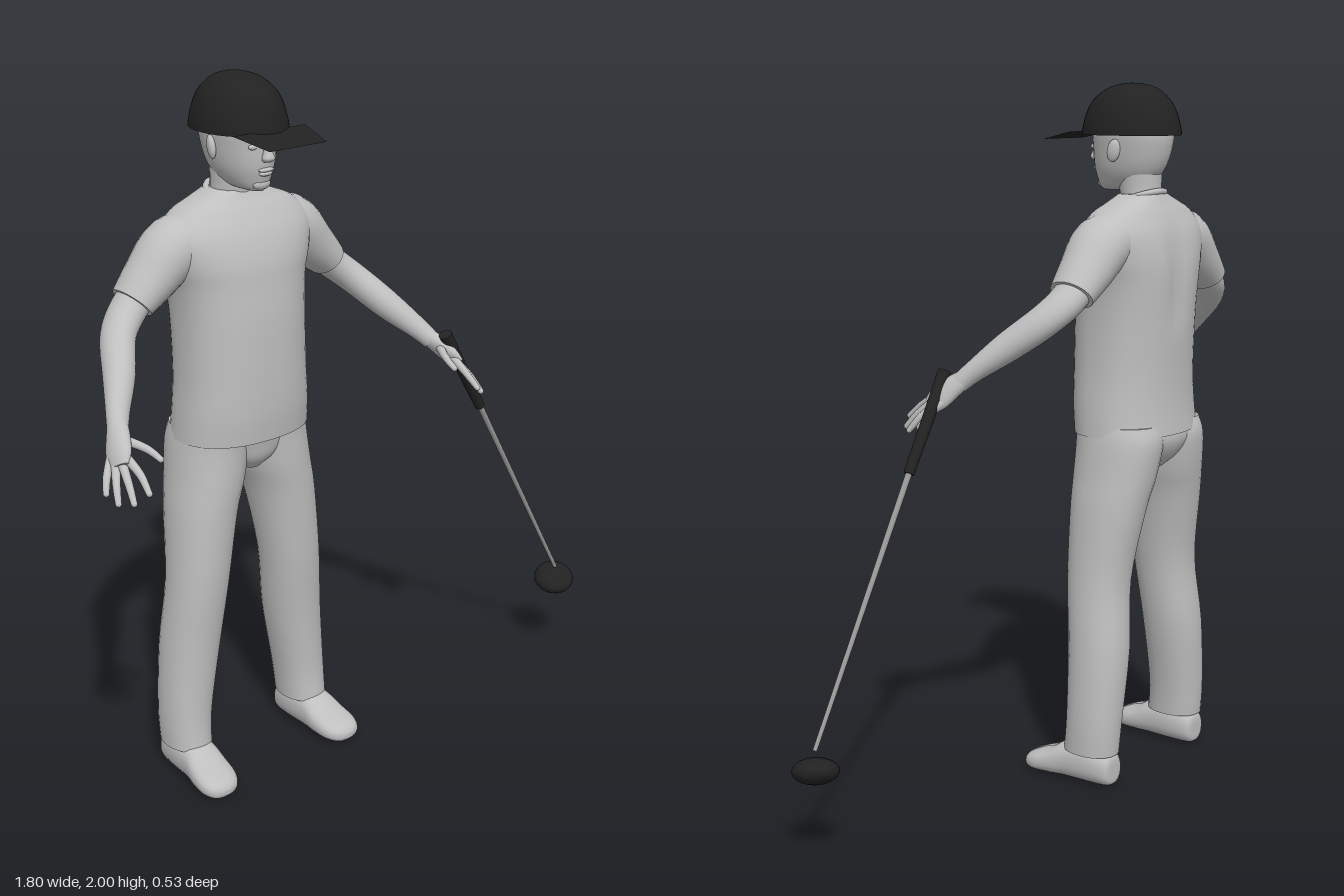
import * as THREE from 'three';

const body = new THREE.MeshStandardMaterial({ color: 0xbfbfbf });
body.name = 'light grey body';
const dark = new THREE.MeshStandardMaterial({ color: 0x222222, side: THREE.DoubleSide });
dark.name = 'near black';
const steel = new THREE.MeshStandardMaterial({ color: 0x999999 });
steel.name = 'steel grey';

const V = (x, y, z) => new THREE.Vector3(x, y, z);

function mesh(parent, name, geo, mat = body) {
  const m = new THREE.Mesh(geo, mat);
  m.name = name;
  parent.add(m);
  return m;
}

// Catmull-Rom smoothing of rows of numbers
function smoothRows(rows, sub) {
  const out = [];
  for (let i = 0; i < rows.length - 1; i++) {
    const [p, a, b, n] = [-1, 0, 1, 2].map(k => rows[Math.min(rows.length - 1, Math.max(0, i + k))]);
    for (let s = 0; s < sub; s++) {
      const t = s / sub;
      out.push(a.map((_, k) => a[k] + 0.5 * t * (b[k] - p[k]
        + t * (2 * p[k] - 5 * a[k] + 4 * b[k] - n[k] + t * (3 * (a[k] - b[k]) + n[k] - p[k])))));
    }
  }
  out.push(rows[rows.length - 1]);
  return out;
}

// Skin over rings [x, y, z, radiusA, radiusB]; plane is 'xz', 'xy' or 'path'
function loft(rings, { plane = 'path', power = 2, sides = 28, sub = 4, rule } = {}) {
  const rows = smoothRows(rings, sub), pos = [], idx = [];
  const centres = rows.map(r => V(r[0], r[1], r[2]));
  rows.forEach((r, i) => {
    let u = V(1, 0, 0), v = plane === 'xz' ? V(0, 0, 1) : V(0, 1, 0);
    if (plane === 'path') {
      const t = centres[Math.min(i + 1, rows.length - 1)].clone().sub(centres[Math.max(i - 1, 0)]).normalize();
      u = V(0, 0, 1).addScaledVector(t, -t.z).normalize();
      v = u.clone().cross(t);
    }
    for (let k = 0; k < sides; k++) {
      const a = k / sides * Math.PI * 2, c = Math.cos(a), s = Math.sin(a);
      const p = centres[i].clone()
        .addScaledVector(u, r[3] * Math.sign(c) * Math.abs(c) ** (2 / power))
        .addScaledVector(v, r[4] * Math.sign(s) * Math.abs(s) ** (2 / power));
      if (rule) rule(p);
      pos.push(p.x, p.y, p.z);
    }
  });
  for (let i = 0; i < rows.length - 1; i++) for (let k = 0; k < sides; k++) {
    const a = i * sides + k, b = i * sides + (k + 1) % sides;
    idx.push(a, b, a + sides, b, b + sides, a + sides);
  }
  // separate end caps keep hems crisp
  for (const i of [0, rows.length - 1]) {
    const base = pos.length / 3;
    pos.push(...pos.slice(i * sides * 3, (i + 1) * sides * 3), ...centres[i].toArray());
    for (let k = 0; k < sides; k++) {
      const a = base + k, b = base + (k + 1) % sides;
      idx.push(...(i ? [a, b, base + sides] : [b, a, base + sides]));
    }
  }
  // turn the skin outward if its signed volume is negative
  const P = i => V(pos[i * 3], pos[i * 3 + 1], pos[i * 3 + 2]).sub(centres[0]);
  let vol = 0;
  for (let i = 0; i < idx.length; i += 3) vol += P(idx[i]).dot(P(idx[i + 1]).cross(P(idx[i + 2])));
  if (vol < 0) idx.reverse();
  const g = new THREE.BufferGeometry();
  g.setAttribute('position', new THREE.Float32BufferAttribute(pos, 3));
  g.setIndex(idx);
  g.computeVertexNormals();
  return g;
}

function ellipsoid(parent, name, x, y, z, a, b, c, mat) {
  const m = mesh(parent, name, new THREE.SphereGeometry(1, 20, 14), mat);
  m.position.set(x, y, z);
  m.scale.set(a, b, c);
  return m;
}

// Round bar between two points
function rod(parent, name, a, b, ra, rb, mat) {
  const d = b.clone().sub(a);
  const m = mesh(parent, name, new THREE.CylinderGeometry(rb, ra, d.length(), 16), mat);
  m.position.copy(a).add(b).multiplyScalar(0.5);
  m.quaternion.setFromUnitVectors(V(0, 1, 0), d.normalize());
}

function buildHead(g) {
  mesh(g, 'neck', loft([[0, 1.63, -0.125, 0.062, 0.06], [0, 1.70, -0.122, 0.057, 0.06], [0, 1.78, -0.115, 0.06, 0.07]], { plane: 'xz' }));
  mesh(g, 'head', loft([
    [0, 1.703, -0.04, 0.022, 0.045], [0, 1.712, -0.055, 0.042, 0.066], [0, 1.735, -0.075, 0.06, 0.094],
    [0, 1.77, -0.085, 0.074, 0.112], [0, 1.82, -0.092, 0.083, 0.122], [0, 1.87, -0.094, 0.087, 0.124],
    [0, 1.92, -0.094, 0.074, 0.1], [0, 1.95, -0.094, 0.03, 0.04]], { plane: 'xz', power: 2.1 }));
  mesh(g, 'nose', loft([[0, 1.84, 0.022, 0.009, 0.01], [0, 1.81, 0.032, 0.012, 0.014],
    [0, 1.793, 0.035, 0.018, 0.017], [0, 1.784, 0.03, 0.012, 0.012]], { plane: 'xz', sides: 16 }));
  ellipsoid(g, 'upperLip', 0, 1.762, 0.025, 0.025, 0.006, 0.009);
  ellipsoid(g, 'lowerLip', 0, 1.752, 0.022, 0.021, 0.007, 0.01);
  ellipsoid(g, 'chin', 0, 1.722, 0.004, 0.028, 0.016, 0.014);
  for (const s of [-1, 1]) {
    ellipsoid(g, 'eyelid', s * 0.033, 1.824, 0.016, 0.016, 0.008, 0.008);
    ellipsoid(g, 'ear', s * 0.088, 1.815, -0.09, 0.011, 0.032, 0.019).rotation.set(-0.2, s * 0.35, 0);
  }
  // cap with a flat brim
  mesh(g, 'capCrown', loft([
    [0, 1.857, -0.088, 0.119, 0.152], [0, 1.88, -0.088, 0.117, 0.148], [0, 1.92, -0.088, 0.107, 0.136],
    [0, 1.955, -0.088, 0.09, 0.115], [0, 1.983, -0.09, 0.06, 0.08], [0, 1.996, -0.09, 0.03, 0.042],
    [0, 2.0, -0.09, 0.002, 0.002]], { plane: 'xz', sides: 36 }), dark);
  const outline = new THREE.Shape([[-0.118, 0], [0.118, 0], [0.092, 0.118], [-0.092, 0.118]].map(p => new THREE.Vector2(...p)));
  const brim = mesh(g, 'capBrim', new THREE.ShapeGeometry(outline), dark);
  brim.position.set(0, 1.866, 0.04);
  brim.rotation.x = Math.PI / 2 + 0.2;
}

function buildTorso(g) {
  // shirt with a shallow groove along the spine
  mesh(g, 'shirt', loft([
    [0, 1.02, -0.115, 0.202, 0.15], [0, 1.1, -0.107, 0.197, 0.15], [0, 1.2, -0.105, 0.19, 0.15],
    [0, 1.35, -0.109, 0.19, 0.151], [0, 1.45, -0.115, 0.2, 0.148], [0, 1.52, -0.117, 0.222, 0.141],
    [0, 1.59, -0.121, 0.235, 0.121], [0, 1.645, -0.125, 0.19, 0.092], [0, 1.67, -0.128, 0.135, 0.076],
    [0, 1.695, -0.13, 0.07, 0.062]], {
    plane: 'xz', power: 2.3, sides: 48,
    rule: p => {
      if (p.z < -0.15 && p.y > 1.3 && p.y < 1.64)
        p.z += 0.016 * Math.exp(-((p.x / 0.035) ** 2)) * Math.sin((p.y - 1.3) / 0.34 * Math.PI);
    } }));
  const collar = mesh(g, 'collar', new THREE.TorusGeometry(0.07, 0.009, 10, 40));
  collar.position.set(0, 1.68, -0.122);
  collar.rotation.x = Math.PI / 2 + 0.33;
  mesh(g, 'trouserSeat', loft([
    [0, 0.915, -0.12, 0.04, 0.08], [0, 0.95, -0.125, 0.11, 0.112],
    [0, 1.0, -0.13, 0.185, 0.128], [0, 1.05, -0.12, 0.19, 0.13]], { plane: 'xz', power: 2.2 }));
}

function buildSide(g, s, side) {
  const m = rows => rows.map(r => [r[0] * s, ...r.slice(1)]);
  // leg and shoe
  mesh(g, side + 'TrouserLeg', loft(m([
    [0.215, 0.095, -0.12, 0.066, 0.085], [0.21, 0.2, -0.127, 0.072, 0.084], [0.187, 0.4, -0.125, 0.083, 0.09],
    [0.165, 0.6, -0.108, 0.086, 0.093], [0.14, 0.8, -0.118, 0.094, 0.113], [0.118, 0.9, -0.125, 0.101, 0.125],
    [0.102, 1.0, -0.13, 0.103, 0.132], [0.1, 1.05, -0.12, 0.095, 0.128]]), { plane: 'xz', power: 2.15 }));
  mesh(g, side + 'Shoe', loft(m([
    [0.214, 0.045, -0.202, 0.02, 0.025], [0.214, 0.05, -0.192, 0.042, 0.047], [0.215, 0.06, -0.13, 0.054, 0.06],
    [0.218, 0.056, -0.05, 0.057, 0.056], [0.222, 0.042, 0.0, 0.062, 0.042], [0.226, 0.032, 0.05, 0.06, 0.032],
    [0.228, 0.026, 0.083, 0.042, 0.022], [0.228, 0.024, 0.095, 0.012, 0.007]]), { plane: 'xy', power: 2.4 }));
  // sleeve and arm
  mesh(g, side + 'Sleeve', loft(m([
    [0.08, 1.575, -0.125, 0.085, 0.08], [0.19, 1.56, -0.127, 0.088, 0.083],
    [0.265, 1.495, -0.129, 0.078, 0.07], [0.327, 1.437, -0.128, 0.068, 0.054]])));
  mesh(g, side + 'Arm', loft(m([
    [0.27, 1.49, -0.13, 0.055, 0.045], [0.34, 1.425, -0.125, 0.055, 0.045], [0.40, 1.37, -0.09, 0.05, 0.043],
    [0.455, 1.3, -0.01, 0.043, 0.041], [0.51, 1.235, 0.06, 0.03, 0.031], [0.535, 1.2, 0.095, 0.028, 0.026]])));
  // hand: palm, thumb and four fingers
  mesh(g, side + 'Palm', loft(m([
    [0.525, 1.215, 0.08, 0.026, 0.024], [0.545, 1.19, 0.11, 0.035, 0.024],
    [0.565, 1.16, 0.14, 0.04, 0.02], [0.578, 1.138, 0.16, 0.032, 0.013]])));
  const fingers = {
    Thumb: [[0.54, 1.19, 0.12], [0.51, 1.175, 0.18], [0.50, 1.158, 0.225]],
    IndexFinger: [[0.558, 1.16, 0.16], [0.555, 1.13, 0.215], [0.56, 1.095, 0.258]],
    MiddleFinger: [[0.568, 1.15, 0.155], [0.583, 1.11, 0.205], [0.593, 1.072, 0.24]],
    RingFinger: [[0.575, 1.145, 0.14], [0.602, 1.105, 0.18], [0.617, 1.068, 0.208]],
    LittleFinger: [[0.575, 1.15, 0.12], [0.606, 1.115, 0.145], [0.623, 1.082, 0.165]],
  };
  for (const [name, pts] of Object.entries(fingers)) {
    const r = [0.0125, 0.0105, 0.008];
    mesh(g, side + name, loft(m(pts.map((p, i) => [...p, r[i], r[i]])), { sides: 12 }));
    const [x, y, z] = pts[2];
    ellipsoid(g, side + name + 'Tip', x * s, y, z, 0.008, 0.008, 0.008);
  }
}

function buildClub(root) {
  const club = new THREE.Group();
  club.name = 'club';
  const top = V(0.272, 1.228, 0.143), mid = V(0.43, 0.97, 0.135), end = V(0.825, 0.31, 0.113);
  rod(club, 'clubGrip', top, mid, 0.019, 0.015, dark);
  rod(club, 'clubShaft', mid, end, 0.009, 0.006, steel);
  ellipsoid(club, 'clubHead', 0.836, 0.262, 0.1, 0.062, 0.036, 0.064, dark).rotation.set(0.27, 0, 0.27);
  root.add(club);
}

export function createModel() {
  const root = new THREE.Group();
  root.name = 'golfer';
  const person = new THREE.Group();
  person.name = 'person';
  person.position.x = -0.27;
  root.add(person);
  buildHead(person);
  buildTorso(person);
  buildSide(person, 1, 'left');
  buildSide(person, -1, 'right');
  buildClub(root);
  return root;
}
